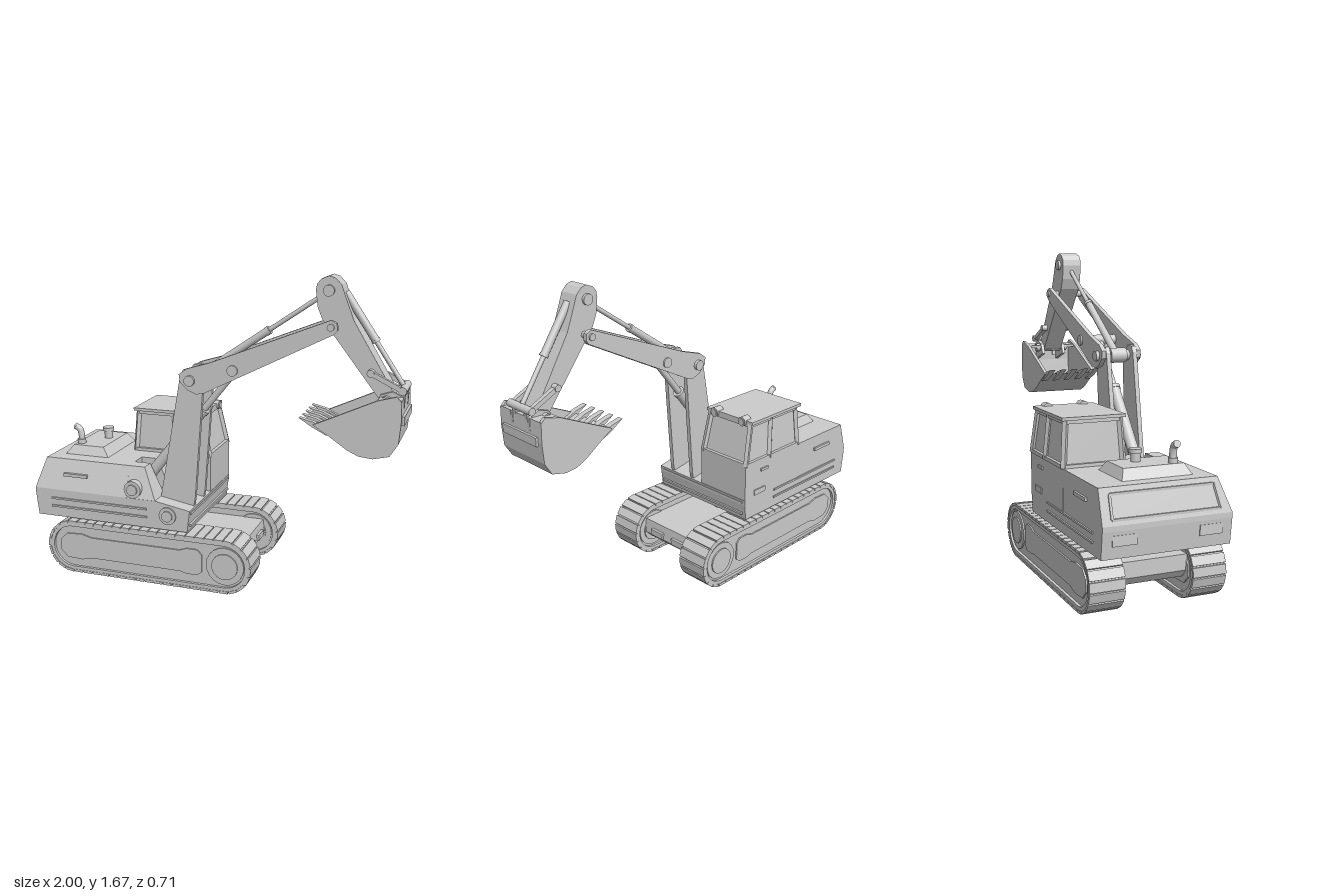
import * as THREE from 'three';
import { ConvexGeometry } from 'three/addons/geometries/ConvexGeometry.js';

const mat = new THREE.MeshStandardMaterial({ color: 0xcccccc });
const V = (x, y, z) => new THREE.Vector3(x, y, z);
const ARM = 0.155; // z of the digging arm's centre plane

export function createModel() {
  const root = new THREE.Group();
  let parent = root;
  const section = (name) => {
    parent = new THREE.Group();
    parent.name = name;
    root.add(parent);
  };
  const add = (name, geo) => {
    const m = new THREE.Mesh(geo, mat);
    m.name = name;
    parent.add(m);
    return m;
  };
  // box from ranges
  const box = (name, x0, x1, y0, y1, z0, z1) => {
    const m = add(name, new THREE.BoxGeometry(x1 - x0, y1 - y0, z1 - z0));
    m.position.set((x0 + x1) / 2, (y0 + y1) / 2, (z0 + z1) / 2);
    return m;
  };
  // block with different rectangles at bottom and top: [x0, x1, z0, z1]
  const block = (name, y0, b, y1, t) => {
    const pts = [];
    for (const [y, r] of [[y0, b], [y1, t]])
      for (const x of [r[0], r[1]]) for (const z of [r[2], r[3]]) pts.push(V(x, y, z));
    return add(name, new ConvexGeometry(pts));
  };
  // round rod and square bar between two points
  const rod = (name, a, b, r, n = 20) => {
    const d = b.clone().sub(a);
    const m = add(name, new THREE.CylinderGeometry(r, r, d.length(), n));
    m.position.copy(a).add(b).multiplyScalar(0.5);
    m.quaternion.setFromUnitVectors(V(0, 1, 0), d.normalize());
    return m;
  };
  const bar = (name, a, b, t) => {
    const m = add(name, new THREE.BoxGeometry(t, t, a.distanceTo(b)));
    m.position.copy(a).add(b).multiplyScalar(0.5);
    m.lookAt(b);
    return m;
  };
  const pin = (name, x, y, z0, z1, r) => rod(name, V(x, y, z0), V(x, y, z1), r);
  const outline = (pts) => new THREE.Shape(pts.map(([x, y]) => new THREE.Vector2(x, y)));
  const plate = (name, shape, z0, z1) => {
    const m = add(name, new THREE.ExtrudeGeometry(shape, { depth: z1 - z0, bevelEnabled: false, curveSegments: 20 }));
    m.position.z = z0;
    return m;
  };

  // ---- Crawler tracks ----
  const xa = -0.77, xb = 0.11, cy = 0.15, len = xb - xa;
  const stadium = (r, C = THREE.Shape) => {
    const s = new C();
    s.absarc(xb, cy, r, -Math.PI / 2, Math.PI / 2, false);
    s.absarc(xa, cy, r, Math.PI / 2, Math.PI * 1.5, false);
    s.closePath();
    return s;
  };
  for (const s of [1, -1]) {
    section(s > 0 ? 'leftTrack' : 'rightTrack');
    const zc = s * 0.265, w = 0.09, R = 0.143;
    const belt = stadium(R);
    belt.holes.push(stadium(0.118, THREE.Path));
    plate('trackBelt', belt, zc - w + 0.003, zc + w - 0.003);
    plate('trackCore', stadium(0.12), zc - w + 0.018, zc + w - 0.018);
    // tread pads following the belt
    const total = 2 * len + 2 * Math.PI * R, n = 50;
    for (let i = 0; i < n; i++) {
      let d = (i / n) * total, x, y, a;
      if (d < len) { x = xa + d; y = cy + R; a = 0; }
      else if ((d -= len) < Math.PI * R) { a = -d / R; x = xb - Math.sin(a) * R; y = cy + Math.cos(a) * R; }
      else if ((d -= Math.PI * R) < len) { x = xb - d; y = cy - R; a = Math.PI; }
      else { a = Math.PI - (d - len) / R; x = xa - Math.sin(a) * R; y = cy + Math.cos(a) * R; }
      const pad = add('treadPad', new THREE.BoxGeometry(0.047, 0.014, 2 * w));
      pad.position.set(x, y, zc);
      pad.rotation.z = a;
    }
    // side frame with a narrowed middle, and drive wheel
    const f = outline([[-0.81, 0.08], [-0.72, 0.075], [-0.66, 0.09], [-0.14, 0.09], [-0.1, 0.08], [-0.04, 0.08], [-0.015, 0.1],
      [-0.015, 0.2], [-0.04, 0.225], [-0.1, 0.225], [-0.14, 0.21], [-0.66, 0.21], [-0.72, 0.225], [-0.81, 0.22], [-0.85, 0.18], [-0.85, 0.12]]);
    plate('sideFrame', f, zc - w + 0.01, zc + w - 0.01);
    pin('driveWheel', xb + 0.005, cy, zc - w + 0.01, zc + w - 0.01, 0.105);
    pin('wheelHub', xb + 0.005, cy, zc - w + 0.003, zc + w - 0.003, 0.072);
  }

  // ---- Undercarriage ----
  section('undercarriage');
  block('chassis', 0.15, [-0.83, 0.18, -0.19, 0.19], 0.23, [-0.83, 0.17, -0.19, 0.19]);
  block('bellyPlate', 0.11, [-0.8, 0.14, -0.19, 0.19], 0.15, [-0.83, 0.18, -0.19, 0.19]);
  for (const z of [-0.08, 0.08]) box('towLug', 0.16, 0.19, 0.155, 0.19, z - 0.045, z + 0.045);
  rod('turntable', V(-0.35, 0.22, 0), V(-0.35, 0.32, 0), 0.14, 32);

  // ---- Upper house ----
  section('house');
  const deck = plate('deck', outline([[-0.985, 0.31], [-0.1, 0.31], [-0.085, 0.43], [-0.28, 0.465], [-1, 0.465], [-1, 0.44]]), -0.33, 0.33);
  deck.name = 'deck';
  block('engineBody', 0.465, [-1, -0.45, -0.33, 0.33], 0.63, [-0.95, -0.45, -0.33, 0.275]);
  block('innerShoulder', 0.46, [-0.46, -0.28, -0.02, 0.11], 0.63, [-0.46, -0.36, -0.02, 0.11]);
  block('outerShoulder', 0.46, [-0.46, -0.28, 0.2, 0.33], 0.63, [-0.46, -0.36, 0.2, 0.275]);
  for (const s of [1, -1]) {
    for (const y of [0.37, 0.415]) box('sideRib', -0.9, -0.33, y - 0.005, y + 0.005, s * 0.333 - 0.005, s * 0.333 + 0.005);
  }
  bar('sideHandle', V(-0.83, 0.55, 0.307), V(-0.69, 0.55, 0.307), 0.018);
  bar('sideHandle', V(-0.83, 0.55, -0.332), V(-0.69, 0.55, -0.332), 0.018);
  for (const y of [0.345, 0.41]) box('frontRib', -0.1, -0.084, y - 0.006, y + 0.006, -0.31, 0.31);
  // rear grille frame and lower lamps
  for (const [ya, yb, za, zb] of [[0.49, 0.49, -0.28, 0.27], [0.6, 0.6, -0.28, 0.25], [0.49, 0.6, -0.28, -0.28], [0.49, 0.6, 0.27, 0.25]]) {
    const x = (y) => -1 + ((y - 0.465) / 0.165) * 0.05;
    bar('rearGrilleFrame', V(x(ya), ya, za), V(x(yb), yb, zb), 0.012);
  }
  for (const z of [-0.22, 0.22]) box('rearLamp', -1, -0.98, 0.37, 0.42, z - 0.06, z + 0.06);
  // pivot bosses on the flank
  for (const [x, y] of [[-0.41, 0.515], [-0.21, 0.39]]) {
    pin('pivotBoss', x, y, 0.1, 0.338, 0.048);
    pin('pivotCap', x, y, 0.33, 0.347, 0.03);
  }
  // raised hood with exhaust and breather
  block('hood', 0.63, [-0.88, -0.62, -0.18, 0.185], 0.68, [-0.84, -0.66, -0.155, 0.16]);
  const pipe = new THREE.CatmullRomCurve3([V(-0.815, 0.67, 0.115), V(-0.815, 0.73, 0.115), V(-0.825, 0.762, 0.115), V(-0.85, 0.775, 0.115)]);
  add('exhaustPipe', new THREE.TubeGeometry(pipe, 16, 0.018, 14, false));
  rod('exhaustTip', V(-0.843, 0.773, 0.115), V(-0.852, 0.776, 0.115), 0.018);
  rod('exhaustCollar', V(-0.815, 0.68, 0.115), V(-0.815, 0.705, 0.115), 0.024);
  rod('breather', V(-0.72, 0.67, -0.035), V(-0.72, 0.73, -0.035), 0.024);
  rod('breatherCap', V(-0.72, 0.722, -0.035), V(-0.72, 0.742, -0.035), 0.032);

  // ---- Cab ----
  section('cab');
  block('cabBase', 0.4, [-0.54, -0.087, -0.332, -0.004], 0.63, [-0.54, -0.087, -0.332, -0.004]);
  block('cabGlass', 0.625, [-0.53, -0.1, -0.32, -0.016], 0.865, [-0.515, -0.155, -0.302, -0.03]);
  const corner = (u, v, t) => V(
    THREE.MathUtils.lerp(-0.534 + 0.016 * t, -0.094 - 0.05 * t, u), 0.63 + 0.235 * t,
    THREE.MathUtils.lerp(-0.326 + 0.016 * t, -0.01 - 0.014 * t, v));
  for (const [u, v] of [[0, 0], [1, 0], [1, 1], [0, 1], [0.56, 0], [0.56, 1]])
    bar('cabPillar', corner(u, v, 0), corner(u, v, 1), 0.022);
  for (const t of [0.03, 0.95])
    for (const [a, b] of [[[0, 0], [1, 0]], [[1, 0], [1, 1]], [[1, 1], [0, 1]], [[0, 1], [0, 0]]])
      bar('windowRail', corner(...a, t), corner(...b, t), 0.02);
  box('roof', -0.542, -0.13, 0.862, 0.878, -0.335, 0);
  box('doorHandle', -0.27, -0.21, 0.57, 0.585, -0.34, -0.33);
  box('cabStep', -0.25, -0.16, 0.44, 0.47, -0.338, -0.33);
  for (const z of [-0.265, -0.065]) {
    rod('workLamp', V(-0.17, 0.868, z), V(-0.12, 0.868, z), 0.026);
    rod('lampLens', V(-0.125, 0.868, z), V(-0.116, 0.868, z), 0.018);
  }

  // ---- Mast and boom: paired plates ----
  section('boom');
  const mast = outline([[-0.29, 0.4], [-0.1, 0.4], [-0.085, 0.47], [-0.04, 1.05], [-0.06, 1.13], [-0.1, 1.175], [-0.145, 1.17], [-0.162, 1.14], [-0.28, 0.47]]);
  const beam = outline([[-0.155, 1.11], [-0.115, 1.07], [-0.065, 1.05], [-0.02, 1.06], [0.64, 1.395], [0.658, 1.415], [0.655, 1.45], [0.625, 1.465], [0.01, 1.22], [-0.12, 1.18], [-0.16, 1.15]]);
  for (const s of [1, -1]) {
    const zm = ARM + s * 0.077, zb = ARM + s * 0.101;
    plate('mastPlate', mast, zm - 0.012, zm + 0.012);
    plate('boomBeam', beam, zb - 0.012, zb + 0.012);
  }
  pin('mastPin', -0.1, 1.12, ARM - 0.13, ARM + 0.13, 0.028);
  pin('boomRamPin', 0.13, 1.187, ARM - 0.122, ARM + 0.122, 0.028);
  pin('stickPivotPin', 0.625, 1.43, ARM - 0.122, ARM + 0.122, 0.018);
  pin('mastSpacer', -0.1, 1.12, ARM - 0.045, ARM + 0.045, 0.04);

  // ---- Hydraulic rams ----
  section('rams');
  const ram = (name, a, b, split, r) => {
    const mid = a.clone().lerp(b, split);
    rod(name + 'Cylinder', a, mid, r);
    rod(name + 'Collar', mid, a.clone().lerp(b, split + 0.025), r * 1.12);
    rod(name + 'Rod', mid, b, r * 0.6);
  };
  ram('boomRam', V(-0.41, 0.515, ARM), V(0.13, 1.187, ARM), 0.62, 0.03);
  ram('stickRam', V(-0.1, 1.12, ARM), V(0.58, 1.585, ARM), 0.55, 0.02);
  ram('bucketRam', V(0.67, 1.59, ARM), V(0.975, 1.14, ARM), 0.5, 0.02);

  // ---- Stick ----
  section('stick');
  plate('stickArm', outline([[0.535, 1.6], [0.545, 1.52], [0.57, 1.46], [0.865, 1.08], [0.9, 1.065], [0.935, 1.09], [0.925, 1.13],
    [0.74, 1.46], [0.705, 1.55], [0.66, 1.63], [0.63, 1.66], [0.6, 1.67], [0.56, 1.655], [0.54, 1.63]].map(([x, y]) =>
    y > 1.4 && x > 0.7 ? [x - 0.015, y] : [x, y])), ARM - 0.056, ARM + 0.056);
  pin('stickTopPin', 0.6, 1.6, ARM - 0.07, ARM + 0.07, 0.028);
  for (const s of [1, -1]) {
    bar('linkArm', V(0.815, 1.215, ARM + s * 0.072), V(0.98, 1.135, ARM + s * 0.072), 0.024);
    bar('bucketLink', V(0.98, 1.135, ARM + s * 0.045), V(0.965, 1.03, ARM + s * 0.045), 0.022);
  }
  pin('linkPin', 0.82, 1.213, ARM - 0.09, ARM + 0.09, 0.018);
  pin('bucketRamPin', 0.977, 1.137, ARM - 0.09, ARM + 0.09, 0.02);
  pin('bucketPivotPin', 0.9, 1.085, ARM - 0.1, ARM + 0.1, 0.024);

  // ---- Bucket ----
  section('bucket');
  const outer = [[0.56, 0.955], [0.65, 0.9], [0.73, 0.845], [0.79, 0.817], [0.86, 0.81], [0.94, 0.83], [0.98, 0.895], [0.988, 1], [0.985, 1.1]];
  const inner = [[0.965, 1.1], [0.968, 1], [0.96, 0.905], [0.928, 0.848], [0.86, 0.83], [0.795, 0.837], [0.74, 0.865], [0.66, 0.918]];
  const half = 0.162;
  plate('bucketShell', outline([...outer, ...inner]), ARM - half, ARM + half);
  const cheek = outline([...outer, [0.96, 1.125], [0.87, 1.1], [0.7, 1.02]]);
  for (const s of [1, -1]) {
    const z = ARM + s * (half - 0.006);
    plate('bucketCheek', cheek, z - 0.009, z + 0.009);
    plate('bucketEar', outline([[0.84, 1.05], [0.985, 1], [0.99, 1.1], [0.93, 1.13], [0.87, 1.11]]), ARM + s * 0.068 - 0.009, ARM + s * 0.068 + 0.009);
  }
  plate('bucketTopPlate', outline([[0.87, 1.085], [0.985, 1.085], [0.985, 1.105], [0.87, 1.1]]), ARM - half, ARM + half);
  box('rearLug', 0.97, 1, 0.98, 1.025, ARM - 0.135, ARM + 0.135);
  for (let i = 0; i < 5; i++) {
    const z = ARM + (i - 2) * 0.071;
    plate('tooth', outline([[0.487, 0.985], [0.555, 0.942], [0.63, 0.905], [0.64, 0.932], [0.56, 0.968]]), z - 0.016, z + 0.016);
  }
  return root;
}
